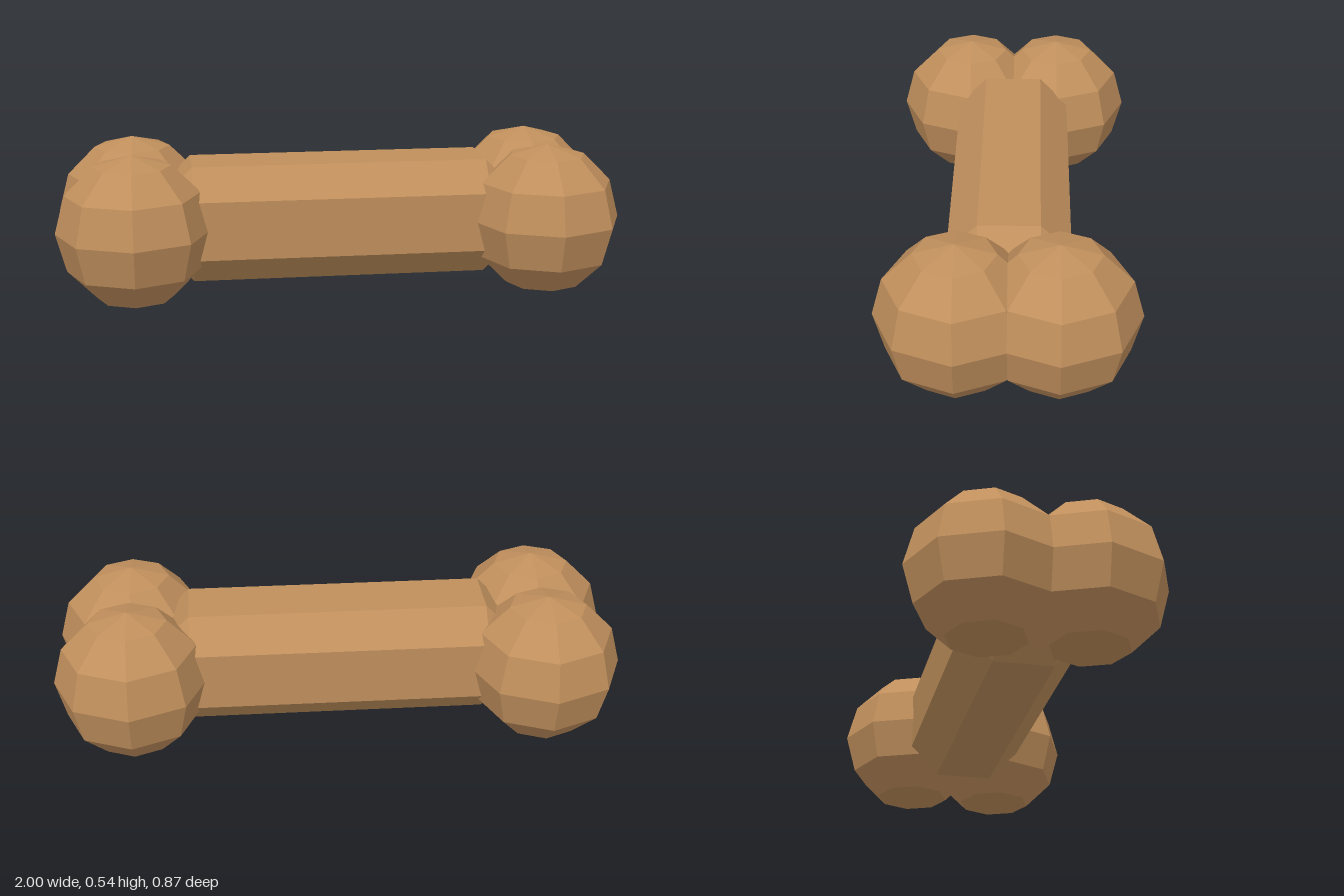
import * as THREE from 'three';
import { ConvexGeometry } from 'three/addons/geometries/ConvexGeometry.js';

// Box with every edge cut at 45 degrees (half sizes x, y, z and cut c)
function chamferedBox(x, y, z, c) {
  const points = [];
  for (const sx of [-1, 1]) for (const sy of [-1, 1]) for (const sz of [-1, 1]) {
    points.push(
      new THREE.Vector3(sx * x, sy * (y - c), sz * (z - c)),
      new THREE.Vector3(sx * (x - c), sy * y, sz * (z - c)),
      new THREE.Vector3(sx * (x - c), sy * (y - c), sz * z)
    );
  }
  return new ConvexGeometry(points);
}

export function createModel() {
  const group = new THREE.Group();
  group.name = 'bone';
  const tan = new THREE.MeshStandardMaterial({ color: 0xc08f5c, flatShading: true });
  tan.name = 'tan';

  const R = 0.27; // knob radius, also the height of the centre line

  // Shaft with chamfered edges and ends
  const shaft = new THREE.Mesh(chamferedBox(0.627, 0.207, 0.207, 0.103), tan);
  shaft.name = 'shaft';
  shaft.position.y = R;
  group.add(shaft);

  // Two faceted knobs at each end
  const knobGeometry = new THREE.SphereGeometry(R, 8, 6);
  for (const [sx, side] of [[1, 'left'], [-1, 'right']]) {
    for (const [sz, end] of [[1, 'Front'], [-1, 'Back']]) {
      const knob = new THREE.Mesh(knobGeometry, tan);
      knob.name = side + end + 'Knob';
      knob.position.set(sx * 0.73, R, sz * 0.167);
      group.add(knob);
    }
  }
  return group;
}
